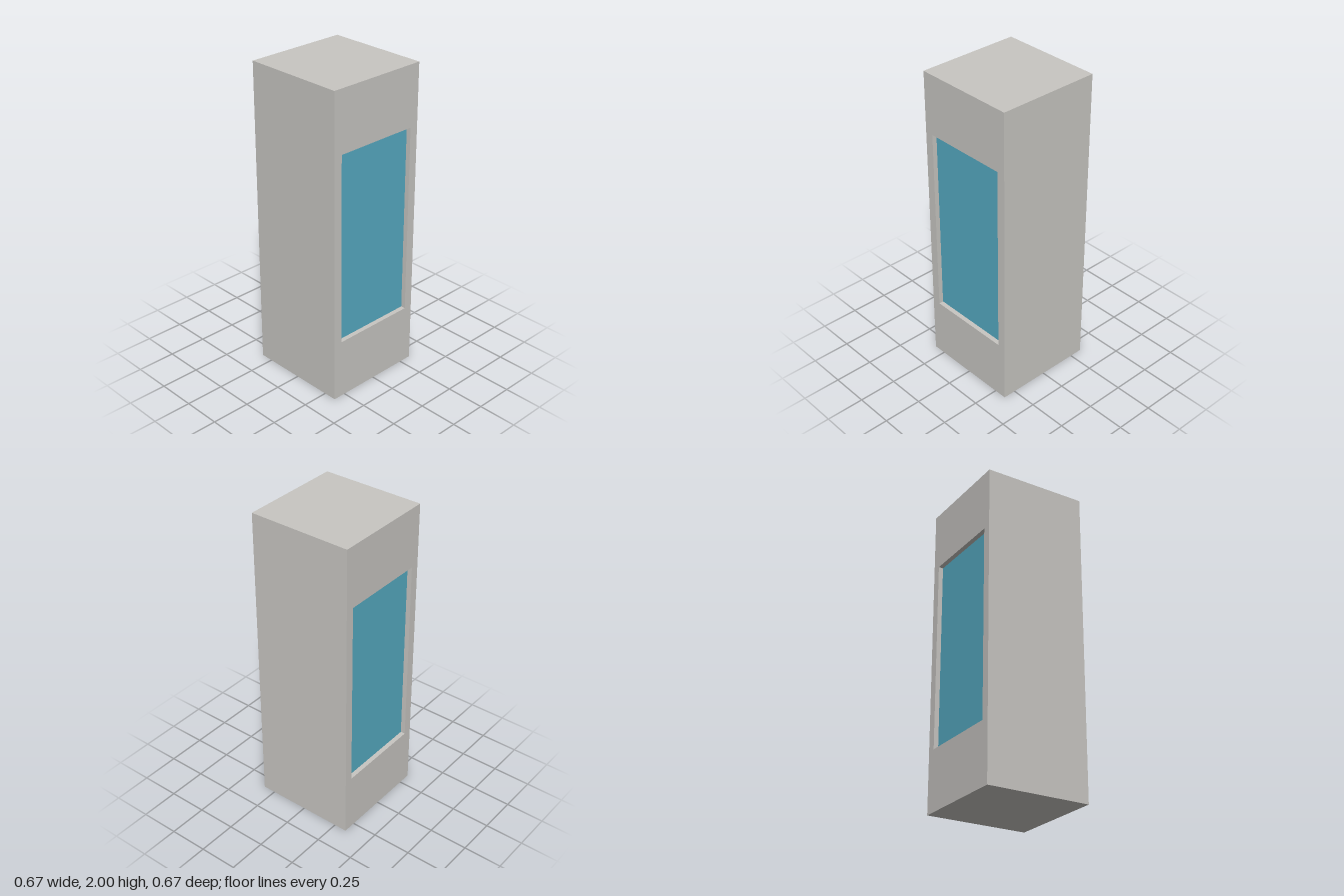
import * as THREE from 'three';

const SIDE = 0.667, HEIGHT = 2;          // outer block
const WIN_W = 0.556, WIN_H = 1.224;      // window opening, centred on the wall
const RECESS = 0.03;                     // depth of the glass behind the wall face

// Adds a rectangle centred on (0, HEIGHT / 2) to a shape or path
function rect(path, w, h) {
  const y = HEIGHT / 2;
  path.moveTo(-w / 2, y - h / 2);
  path.lineTo(w / 2, y - h / 2);
  path.lineTo(w / 2, y + h / 2);
  path.lineTo(-w / 2, y + h / 2);
  path.closePath();
  return path;
}

export function createModel() {
  const concrete = new THREE.MeshStandardMaterial({ name: 'concrete', color: 0xc8c6c2 });
  const glass = new THREE.MeshStandardMaterial({ name: 'blue glass', color: 0x56abc2 });
  const group = new THREE.Group();
  group.name = 'tower';

  // Block with a window opening running from front to back
  const outline = rect(new THREE.Shape(), SIDE, HEIGHT);
  outline.holes.push(rect(new THREE.Path(), WIN_W, WIN_H));
  const wallGeometry = new THREE.ExtrudeGeometry(outline, { depth: SIDE, bevelEnabled: false });
  wallGeometry.translate(0, 0, -SIDE / 2);
  const walls = new THREE.Mesh(wallGeometry, concrete);
  walls.name = 'walls';
  group.add(walls);

  // Recessed glass at the front and the back
  for (const [name, turn] of [['frontWindow', 0], ['backWindow', Math.PI]]) {
    const paneGeometry = new THREE.PlaneGeometry(WIN_W, WIN_H);
    paneGeometry.translate(0, HEIGHT / 2, SIDE / 2 - RECESS);
    const pane = new THREE.Mesh(paneGeometry, glass);
    pane.name = name;
    pane.rotation.y = turn;
    group.add(pane);
  }
  return group;
}
